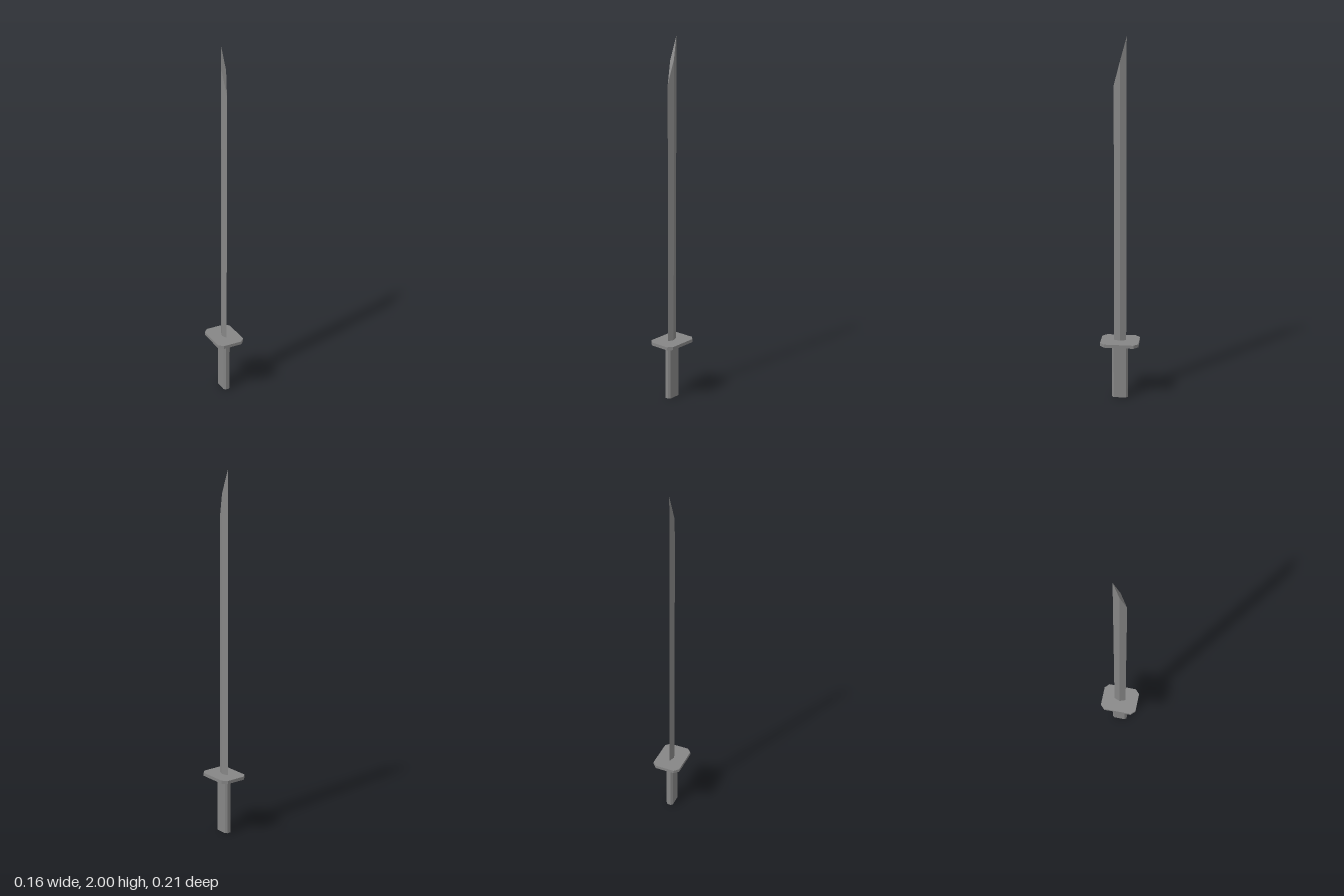
import * as THREE from 'three';

const material = new THREE.MeshStandardMaterial({ color: 0x868686, flatShading: true });

// Upright prism with the given [x, z] outline between two heights
function prism(name, outline, y0, y1) {
  const shape = new THREE.Shape(outline.map(([x, z]) => new THREE.Vector2(x, -z)));
  const geometry = new THREE.ExtrudeGeometry(shape, { depth: y1 - y0, bevelEnabled: false });
  geometry.rotateX(-Math.PI / 2).translate(0, y0, 0);
  const mesh = new THREE.Mesh(geometry, material);
  mesh.name = name;
  return mesh;
}

// Rectangle with its four corners cut off
function cutRectangle(x, z, cut) {
  return [
    [x, z - cut], [x, cut - z], [x - cut, -z], [cut - x, -z],
    [-x, cut - z], [-x, z - cut], [cut - x, z], [x - cut, z],
  ];
}

export function createModel() {
  const group = new THREE.Group();
  group.name = 'sword';

  const guardBottom = 0.32, guardTop = 0.338;
  group.add(prism('handle', cutRectangle(0.02, 0.044, 0.01), 0, guardBottom));
  group.add(prism('guard', cutRectangle(0.08, 0.106, 0.025), guardBottom, guardTop));

  // Diamond-section blade, cut off by one slanted plane rising to the back edge
  const halfDepth = 0.034, cutLow = 1.75, tip = 2;
  const blade = prism('blade',
    [[0.0125, 0], [0, -halfDepth], [-0.0125, 0], [0, halfDepth]], guardTop, tip);
  const position = blade.geometry.attributes.position;
  for (let i = 0; i < position.count; i++) {
    if (position.getY(i) < 1) continue;
    const t = (halfDepth - position.getZ(i)) / (2 * halfDepth);
    position.setY(i, cutLow + (tip - cutLow) * t);
  }
  blade.geometry.computeVertexNormals();
  group.add(blade);

  return group;
}
